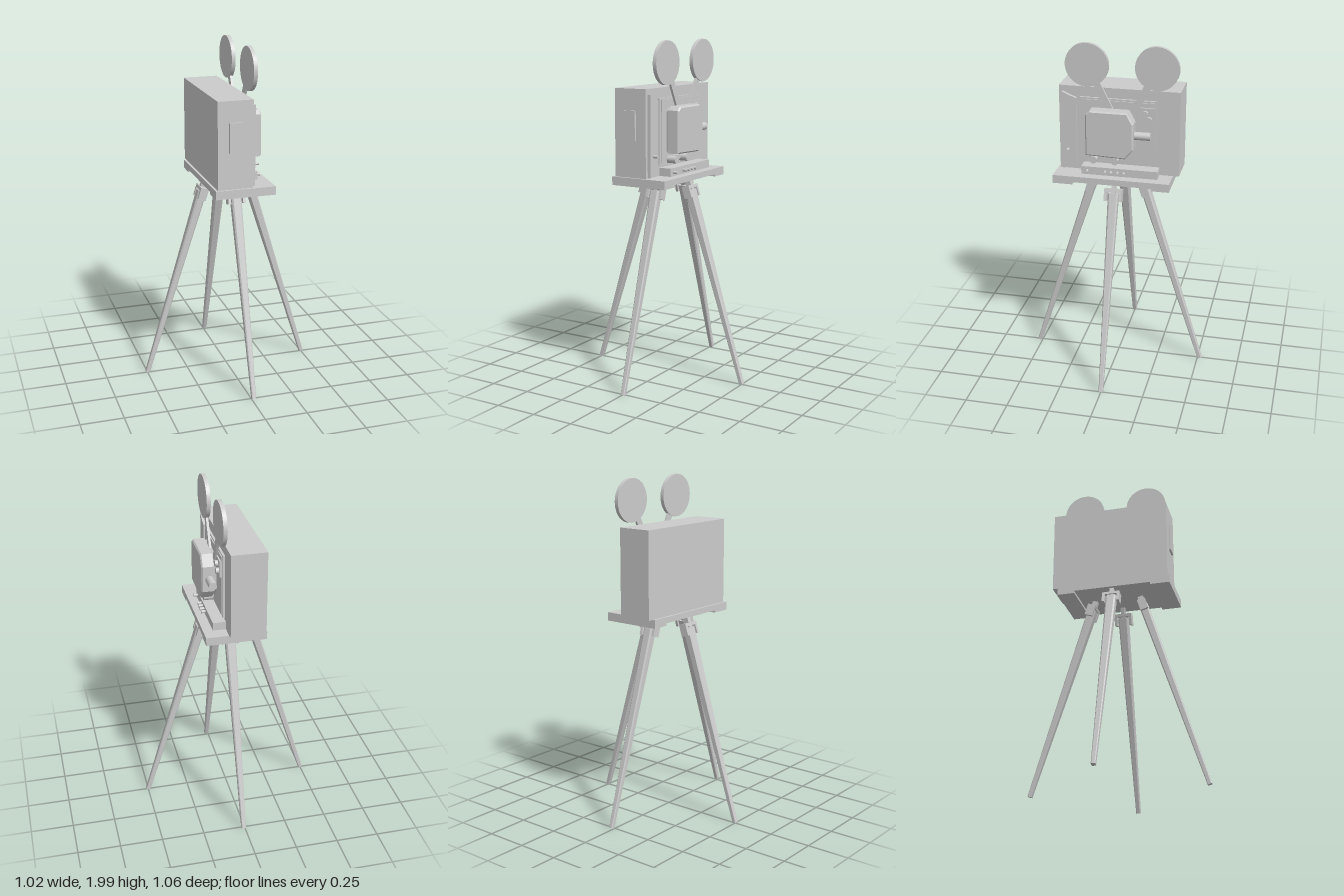
import * as THREE from 'three';

const mat = new THREE.MeshStandardMaterial({ color: 0xcccccc, flatShading: true });
const smooth = new THREE.MeshStandardMaterial({ color: 0xcccccc });

export function createModel() {
  const root = new THREE.Group();

  const add = (name, geo, parent = root, m = mat) => {
    const mesh = new THREE.Mesh(geo, m);
    mesh.name = name;
    parent.add(mesh);
    return mesh;
  };
  // Box from its min and max limits on each axis
  const box = (name, [x0, x1], [y0, y1], [z0, z1], parent = root) => {
    const mesh = add(name, new THREE.BoxGeometry(x1 - x0, y1 - y0, z1 - z0), parent);
    mesh.position.set((x0 + x1) / 2, (y0 + y1) / 2, (z0 + z1) / 2);
    return mesh;
  };
  // Disc or rod along x
  const rod = (name, x0, x1, y, z, r, seg = 20) => {
    const geo = new THREE.CylinderGeometry(r, r, x1 - x0, seg).rotateZ(Math.PI / 2);
    const mesh = add(name, geo, root, smooth);
    mesh.position.set((x0 + x1) / 2, y, z);
    return mesh;
  };
  // Outline of [z, y] points, given thickness along x
  const slab = (name, pts, x0, x1, bevel = 0) => {
    const shape = new THREE.Shape(pts.map(([z, y]) => new THREE.Vector2(-z, y)));
    const geo = new THREE.ExtrudeGeometry(shape, {
      depth: x1 - x0 - 2 * bevel, bevelEnabled: bevel > 0, bevelSize: bevel,
      bevelThickness: bevel, bevelOffset: -bevel, bevelSegments: 1,
    }).rotateY(Math.PI / 2).translate(x0 + bevel, 0, 0);
    return add(name, geo);
  };

  // Cabinet on its base board
  box('cabinet', [-0.15, 0.055], [1.235, 1.737], [-0.363, 0.338]);
  box('baseBoard', [-0.164, 0.186], [1.2, 1.235], [-0.328, 0.352]);
  box('frontBatten', [-0.164, 0.186], [1.186, 1.2], [0.235, 0.352]);
  box('rearBatten', [-0.164, 0.186], [1.186, 1.2], [-0.328, -0.225]);
  box('frontPlate', [-0.085, -0.01], [1.445, 1.615], [0.338, 0.349]);

  // Narrow tapered door with knob
  slab('sideDoor', [[0.318, 1.705], [0.235, 1.67], [0.235, 1.27], [0.318, 1.237]], 0.055, 0.074);
  rod('doorKnob', 0.07, 0.105, 1.358, 0.286, 0.009, 12);

  // Mounting panel and lower control rail
  box('mountingPanel', [0.05, 0.068], [1.298, 1.678], [-0.232, 0.212]);
  box('innerPanel', [0.06, 0.074], [1.31, 1.668], [-0.222, 0.195]);
  box('controlRail', [0.055, 0.13], [1.235, 1.282], [-0.25, 0.195]);
  for (const z of [0.16, 0.055, 0.02, -0.018, -0.055]) rod('railButton', 0.125, 0.155, 1.257, z, 0.009, 12);

  // Mechanism housing with cut corners
  slab('mechanismHousing', [
    [0.162, 1.608], [0.137, 1.63], [-0.08, 1.63], [-0.115, 1.565],
    [-0.115, 1.412], [-0.068, 1.355], [0.162, 1.363],
  ], 0.085, 0.163, 0.008);
  slab('housingBack', [
    [0.15, 1.6], [0.13, 1.62], [-0.075, 1.62], [-0.105, 1.56],
    [-0.105, 1.415], [-0.063, 1.367], [0.15, 1.372],
  ], 0.07, 0.087);

  // Knobs under the housing
  rod('frontKnob', 0.07, 0.13, 1.325, 0.125, 0.022);
  rod('middleKnob', 0.07, 0.11, 1.336, 0.064, 0.014);
  rod('rearKnob', 0.07, 0.13, 1.325, 0, 0.022);

  // Lens barrel pointing to the rear
  const lens = add('lensBarrel', new THREE.CylinderGeometry(0.023, 0.023, 0.11, 24).rotateX(Math.PI / 2), root, smooth);
  lens.position.set(0.118, 1.488, -0.152);

  // Small dial plate
  box('dialPlate', [0.07, 0.083], [1.545, 1.642], [-0.22, -0.132]);
  rod('upperDial', 0.08, 0.1, 1.61, -0.168, 0.018);
  rod('lowerDial', 0.08, 0.1, 1.575, -0.19, 0.018);

  // Film reels and their arms
  for (const [reelZ, footZ] of [[0.165, 0.02], [-0.235, -0.09]]) {
    rod('reel', 0.072, 0.095, 1.875, reelZ, 0.125, 48);
    const dz = reelZ - footZ, dy = 1.875 - 1.59;
    const arm = add('reelArm', new THREE.BoxGeometry(0.014, Math.hypot(dz, dy), 0.04));
    arm.position.set(0.083, (1.875 + 1.59) / 2, (reelZ + footZ) / 2);
    arm.rotation.x = Math.atan2(dz, dy);
  }

  // Tapered leg with chamfered edges, hanging down from its hinge
  const L = 1.18, c = 0.3;
  const section = new THREE.Shape([
    [1, 1 - c], [1 - c, 1], [c - 1, 1], [-1, 1 - c],
    [-1, c - 1], [c - 1, -1], [1 - c, -1], [1, c - 1],
  ].map(([x, y]) => new THREE.Vector2(x, y)));
  const legGeo = new THREE.ExtrudeGeometry(section, { depth: L, bevelEnabled: false }).rotateX(Math.PI / 2);
  const p = legGeo.attributes.position;
  for (let i = 0; i < p.count; i++) {
    const t = -p.getY(i) / L;
    p.setX(i, p.getX(i) * THREE.MathUtils.lerp(0.026, 0.0125, t));
    p.setZ(i, p.getZ(i) * THREE.MathUtils.lerp(0.03, 0.0125, t));
  }
  legGeo.computeVertexNormals();

  // Four splayed legs: [turn about y, hinge distance, foot distance, x offset]
  for (const [turn, top, foot, dx] of [
    [0, 0.148, 0.502, 0], [Math.PI, 0.148, 0.502, 0],
    [Math.PI / 2, 0.158, 0.518, 0.01], [-Math.PI / 2, 0.158, 0.518, 0.01],
  ]) {
    const side = new THREE.Group();
    side.name = 'legAssembly';
    side.position.x = dx;
    side.rotation.y = turn;
    root.add(side);
    const leg = new THREE.Group();
    leg.name = 'leg';
    leg.position.set(top, 1.136, 0);
    leg.rotation.z = Math.atan2(foot - top, 1.132);
    side.add(leg);
    add('legShaft', legGeo, leg);
    // Hinge fork and neck
    box('hingeNeck', [-0.017, 0.017], [0, 0.065], [-0.012, 0.012], leg);
    box('hingeBridge', [-0.024, 0.024], [0.008, 0.026], [-0.052, 0.052], leg);
    for (const s of [-1, 1]) {
      const ear = box('hingeEar', [-0.024, 0.024], [-0.045, 0.01], [-0.008, 0.008], leg);
      ear.position.z = s * 0.044;
    }
  }
  return root;
}
